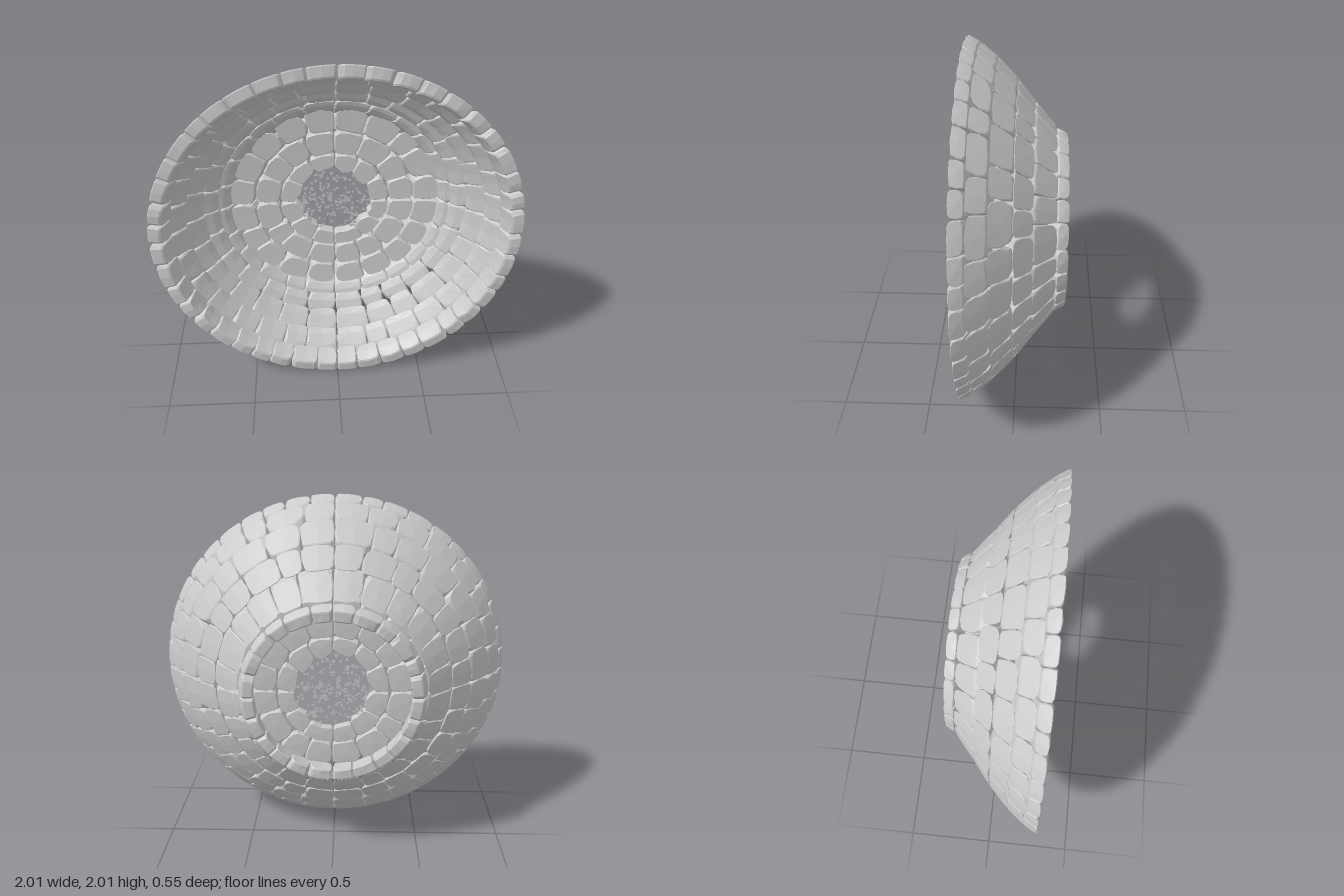
import * as THREE from 'three';

// Small seeded generator so the stones are irregular but repeatable
let seed = 7;
const rand = () => {
  seed = (seed * 16807) % 2147483647;
  return seed / 2147483647;
};
const mix = THREE.MathUtils.lerp;

// Stone courses: each lists [radius, z] at its start and end, for the outer and inner skin;
// bulge swells the inner face, ragged breaks the edge around the open centre
const COURSES = [
  { name: 'rim', n: 44, bulge: 0.15, out: [[1.005, 0.272], [0.968, 0.205]], inn: [[0.94, 0.278], [0.895, 0.175]] },
  { name: 'upperWall', n: 32, bulge: 0.35, out: [[0.968, 0.205], [0.893, 0.11]], inn: [[0.905, 0.175], [0.825, 0.08]] },
  { name: 'middleWall', n: 28, bulge: 0.35, out: [[0.893, 0.11], [0.78, 0]], inn: [[0.835, 0.08], [0.735, -0.005]] },
  { name: 'lowerWall', n: 28, bulge: 0.35, out: [[0.78, 0], [0.655, -0.1]], inn: [[0.745, -0.005], [0.66, -0.06]] },
  { name: 'baseWall', n: 24, bulge: 0.1, out: [[0.655, -0.1], [0.515, -0.218]], inn: [[0.665, -0.055], [0.6, -0.09]] },
  { name: 'footRing', n: 24, bulge: 0, out: [[0.513, -0.218], [0.483, -0.275]], inn: [[0.435, -0.165], [0.425, -0.275]] },
  { name: 'outerFloor', n: 20, bulge: 0, out: [[0.53, -0.165], [0.44, -0.165]], inn: [[0.605, -0.09], [0.46, -0.1]] },
  { name: 'middleFloor', n: 16, bulge: 0, out: [[0.45, -0.165], [0.31, -0.165]], inn: [[0.46, -0.1], [0.315, -0.107]] },
  { name: 'innerFloor', n: 12, bulge: 0, ragged: 0.35, out: [[0.31, -0.165], [0.18, -0.165]], inn: [[0.315, -0.107], [0.18, -0.107]] },
];

// Outline of one stone in course space (0..1 each way): full edges, irregular worn corners
function stoneOutline(ragged = 0) {
  const pull = () => 0.012 + 0.11 * rand() * rand();
  const corners = [
    [pull(), pull()], [1 - pull(), pull()],
    [1 - pull(), 1 - pull() - ragged * rand()], [pull(), 1 - pull() - ragged * rand()],
  ];
  const points = [];
  corners.forEach((c, i) => {
    const prev = corners[(i + 3) % 4], next = corners[(i + 1) % 4];
    const cut = 0.05 + 0.1 * rand();
    points.push([mix(c[0], prev[0], cut), mix(c[1], prev[1], cut)]);
    points.push([mix(c[0], next[0], cut), mix(c[1], next[1], cut)]);
    const edge = [[0.5, 0.005], [0.995, 0.5], [0.5, 0.995 - ragged * rand()], [0.005, 0.5]][i];
    points.push(edge);
  });
  return points;
}

// Adds one closed stone: bevelled outer face, side walls, bevelled inner face
function addStone(course, a0, a1, positions, index) {
  const outline = stoneOutline(course.ragged);
  const count = outline.length, base = positions.length / 3;
  const { out, inn, bulge } = course;
  const put = (u, v, depth) => {
    const t = depth < 0.5 ? depth - bulge * 4 * v * (1 - v) * (1 - 2 * depth) : depth;
    const a = mix(a0, a1, u);
    const r = mix(mix(inn[0][0], inn[1][0], v), mix(out[0][0], out[1][0], v), t);
    const z = mix(mix(inn[0][1], inn[1][1], v), mix(out[0][1], out[1][1], v), t);
    positions.push(r * Math.cos(a), r * Math.sin(a), z);
  };
  const cu = outline.reduce((s, p) => s + p[0], 0) / count;
  const cv = outline.reduce((s, p) => s + p[1], 0) / count;
  const layers = [[0.94, 1], [1, 0.9], [1, 0.12], [0.92, 0]];
  for (const [scale, t] of layers)
    for (const [u, v] of outline) put(mix(cu, u, scale), mix(cv, v, scale), t);
  put(cu, cv, 1.04);
  put(cu, cv, 0);
  const top = base + layers.length * count, bottom = top + 1;
  const last = base + (layers.length - 1) * count;
  for (let i = 0; i < count; i++) {
    const j = (i + 1) % count;
    index.push(top, base + j, base + i, bottom, last + i, last + j);
    for (let k = 0; k < layers.length - 1; k++) {
      const p = base + k * count, q = p + count;
      index.push(p + i, p + j, q + j, p + i, q + j, q + i);
    }
  }
}

function makeMesh(name, positions, index, material) {
  const geometry = new THREE.BufferGeometry();
  geometry.setAttribute('position', new THREE.Float32BufferAttribute(positions, 3));
  geometry.setIndex(index);
  geometry.computeVertexNormals();
  const mesh = new THREE.Mesh(geometry, material);
  mesh.name = name;
  return mesh;
}

// A ring of stones; joints are uneven, but nearly true at the quarter seams
function makeCourse(course, material) {
  const positions = [], index = [], joints = [];
  const step = (2 * Math.PI) / course.n;
  for (let i = 0; i < course.n; i++) {
    const seam = i % (course.n / 4) === 0;
    joints.push((i + (rand() - 0.5) * (seam ? 0.06 : 0.3)) * step);
  }
  joints.push(joints[0] + 2 * Math.PI);
  for (let i = 0; i < course.n; i++) addStone(course, joints[i], joints[i + 1], positions, index);
  return makeMesh(course.name, positions, index, material);
}

// Loose slivers scattered over the open centre, on both faces of the floor
function makeFragments(material) {
  const positions = [], index = [];
  for (let i = 0; i < 200; i++) {
    const r = 0.21 * Math.sqrt(rand()), a = rand() * 2 * Math.PI;
    const turn = rand() * 2 * Math.PI, z = i % 2 ? -0.11 : -0.163;
    for (let k = 0; k < 3; k++) {
      const b = turn + (k * 2 * Math.PI) / 3, size = 0.005 + 0.014 * rand();
      positions.push(r * Math.cos(a) + size * Math.cos(b), r * Math.sin(a) + size * Math.sin(b), z);
      index.push(i * 3 + k);
    }
  }
  return makeMesh('centreFragments', positions, index, material);
}

export function createModel() {
  seed = 7;
  const stone = new THREE.MeshStandardMaterial({ color: 0xcccccc, flatShading: true });
  const flake = new THREE.MeshStandardMaterial({ color: 0xcccccc, flatShading: true, side: THREE.DoubleSide });
  const bowl = new THREE.Group();
  bowl.name = 'stoneBowl';
  for (const course of COURSES) bowl.add(makeCourse(course, stone));
  bowl.add(makeFragments(flake));

  // Stand the rim on the ground
  bowl.position.y = -new THREE.Box3().setFromObject(bowl).min.y;
  const model = new THREE.Group();
  model.add(bowl);
  return model;
}
